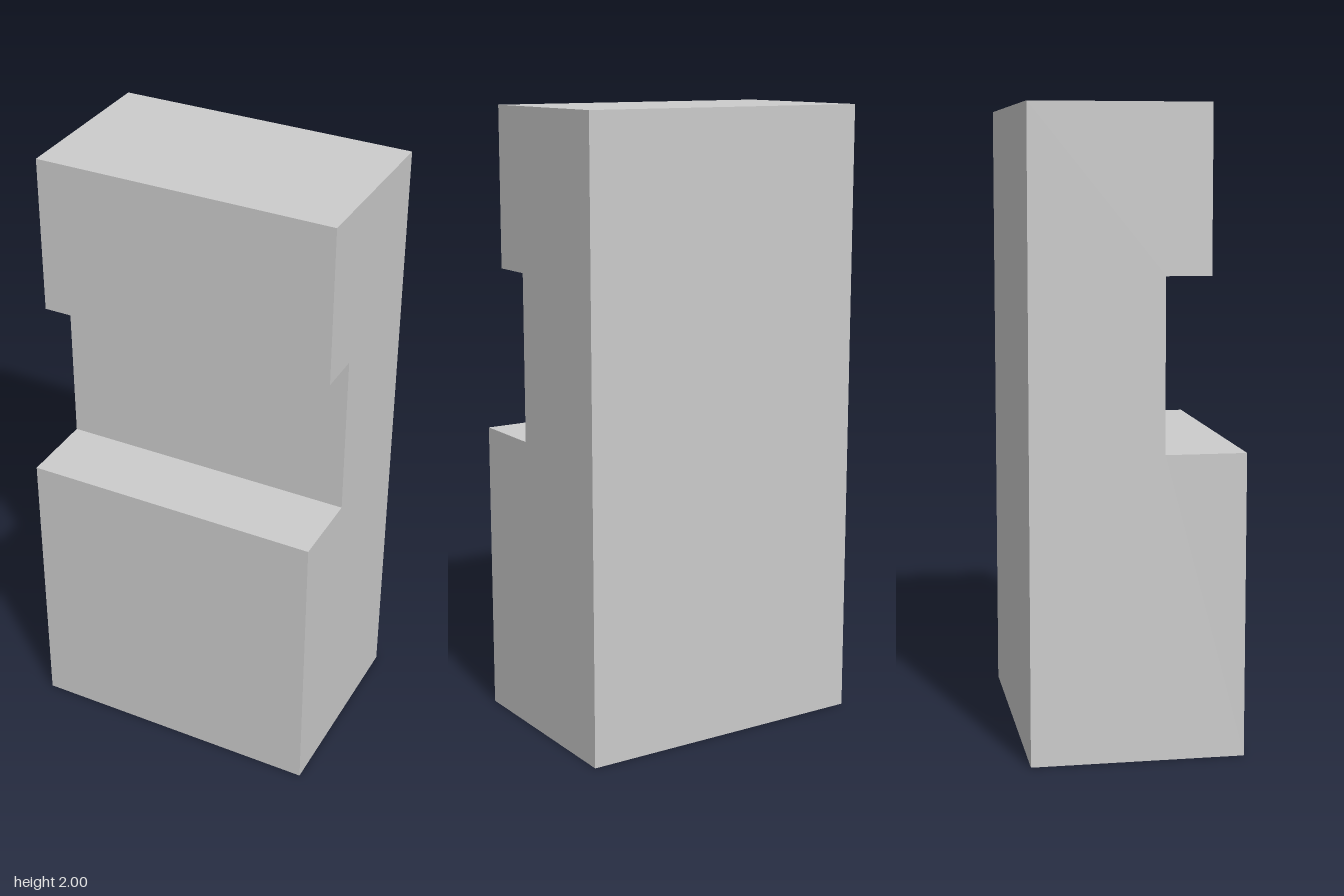
import * as THREE from 'three';

export function createModel() {
  const group = new THREE.Group();
  const width = 0.97;

  // Side profile as [z, y]: deep base, recessed waist, overhanging head
  const profile = [
    [-0.333, 0], [0.333, 0], [0.333, 0.953], [0.08, 0.953],
    [0.08, 1.49], [0.22, 1.49], [0.22, 2], [-0.333, 2],
  ];
  // Shape x becomes -z once the extrusion is turned to run along x
  const shape = new THREE.Shape(profile.map(([z, y]) => new THREE.Vector2(-z, y)));
  const geometry = new THREE.ExtrudeGeometry(shape, { depth: width, bevelEnabled: false });
  geometry.translate(0, 0, -width / 2);
  geometry.rotateY(Math.PI / 2);

  const block = new THREE.Mesh(geometry, new THREE.MeshStandardMaterial({ color: 0xcccccc }));
  block.name = 'notchedBlock';
  group.add(block);
  return group;
}
